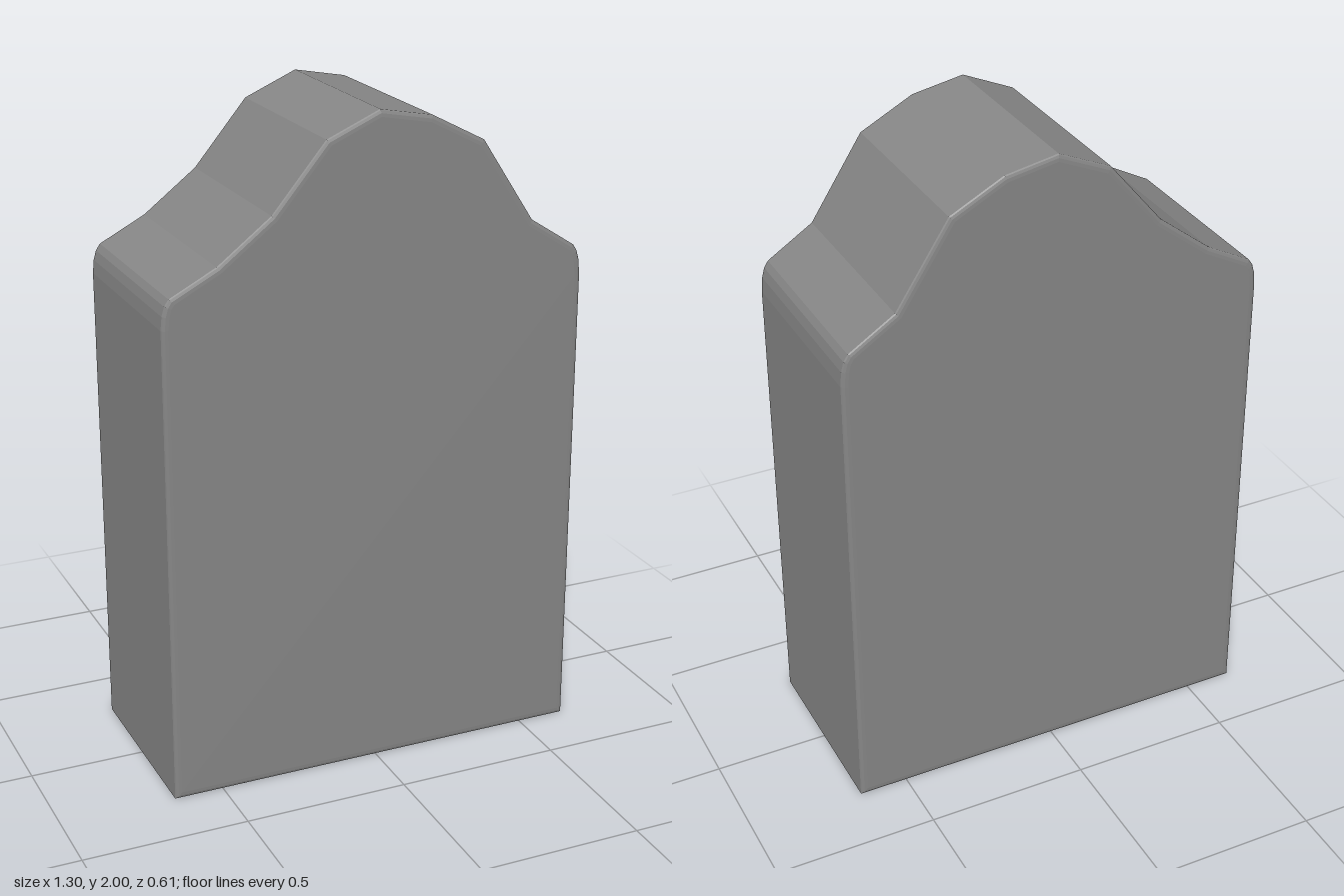
import * as THREE from 'three';

export function createModel() {
  const group = new THREE.Group();
  const halfDepth = 0.305, rimDepth = 0.008, rimWidth = 0.02;

  // Outline of the slab: straight sides, softened shoulders, uneven hump on top
  const outline = [
    [-0.65, 0], [0.65, 0], [0.65, 1.45], [0.646, 1.495], [0.638, 1.525], [0.625, 1.545],
    [0.485, 1.635], [0.323, 1.885], [0.16, 1.97], [0, 2], [-0.16, 1.93], [-0.323, 1.735],
    [-0.485, 1.61], [-0.625, 1.537], [-0.638, 1.518], [-0.646, 1.49], [-0.65, 1.45],
  ].map(([x, y]) => new THREE.Vector2(x, y));

  // Extruded front to back, with a shallow rounded rim around both faces
  const geometry = new THREE.ExtrudeGeometry(new THREE.Shape(outline), {
    depth: 2 * (halfDepth - rimDepth),
    bevelEnabled: true,
    bevelThickness: rimDepth,
    bevelSize: rimWidth,
    bevelOffset: -rimWidth,
    bevelSegments: 3,
  });
  geometry.translate(0, 0, -(halfDepth - rimDepth));

  // Dark grey stone
  const slab = new THREE.Mesh(geometry, new THREE.MeshStandardMaterial({ color: 0x868686 }));
  slab.name = 'slab';
  group.add(slab);
  return group;
}
